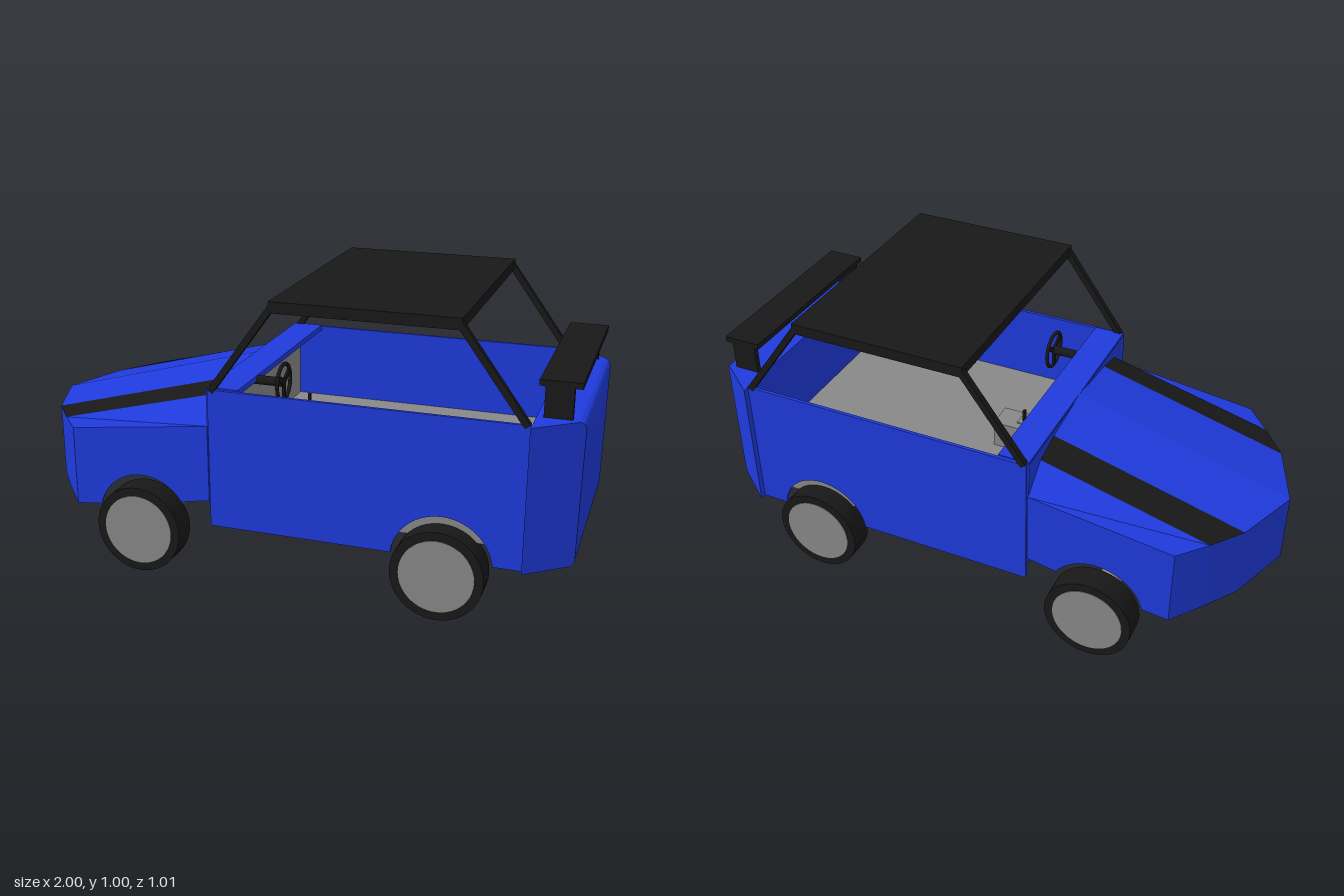
import * as THREE from 'three';
import { toCreasedNormals } from 'three/addons/utils/BufferGeometryUtils.js';

const material = (color, extra = {}) => new THREE.MeshStandardMaterial({ color, ...extra });
const thin = { side: THREE.DoubleSide, flatShading: true };
const blue = material(0x1f3adc);
const black = material(0x181818);
const grey = material(0x888888);
const blueThin = material(0x1f3adc, thin);
const blackThin = material(0x181818, thin);

export function createModel() {
  const car = new THREE.Group();
  car.name = 'car';

  const add = (name, geometry, mat, parent = car) => {
    const mesh = new THREE.Mesh(geometry, mat);
    mesh.name = name;
    parent.add(mesh);
    return mesh;
  };
  // Box given by its lower and upper corners
  const box = (name, mat, [x0, y0, z0], [x1, y1, z1]) => {
    const mesh = add(name, new THREE.BoxGeometry(x1 - x0, y1 - y0, z1 - z0), mat);
    mesh.position.set((x0 + x1) / 2, (y0 + y1) / 2, (z0 + z1) / 2);
    return mesh;
  };
  // Square bar between two points in a plane of constant z
  const bar = (name, mat, [x0, y0], [x1, y1], z, size) => {
    const length = Math.hypot(x1 - x0, y1 - y0);
    const mesh = add(name, new THREE.BoxGeometry(length, size, size), mat);
    mesh.position.set((x0 + x1) / 2, (y0 + y1) / 2, z);
    mesh.rotation.z = Math.atan2(y1 - y0, x1 - x0);
  };
  const quad = (name, mat, a, b, c, d) => {
    const g = new THREE.BufferGeometry().setFromPoints(
      [a, b, c, a, c, d].map((p) => new THREE.Vector3(...p)));
    g.computeVertexNormals();
    add(name, g, mat);
  };
  const plate = (shape, depth) =>
    new THREE.ExtrudeGeometry(shape, { depth, bevelEnabled: false, curveSegments: 20 });

  // Side panels with wheel arches
  const side = new THREE.Shape();
  const a = Math.asin(0.02 / 0.17);
  side.moveTo(-0.225, 0.68).lineTo(-0.225, 0.19);
  side.absarc(0.58, 0.17, 0.17, Math.PI - a, a, true);
  side.lineTo(0.845, 0.19).lineTo(0.845, 0.68);

  const fender = new THREE.Shape();
  fender.moveTo(-0.74, 0.485).lineTo(-0.74, 0.2);
  fender.absarc(-0.48, 0.17, 0.17, Math.PI - 0.24, 0.56, true);
  fender.lineTo(-0.23, 0.28).lineTo(-0.23, 0.55);

  for (const s of [-1, 1]) {
    add('sidePanel', plate(side, 0.012), blue).position.z = s > 0 ? 0.43 : -0.442;
    add('fender', plate(fender, 0.006), blue).position.z = s > 0 ? 0.434 : -0.44;
  }

  // Hood ribs from the middle outwards: z, front x, front top, front bottom, rear top
  const ribs = [
    [0, -1, 0.475, 0.22, 0.685],
    [0.23, -0.91, 0.478, 0.215, 0.66],
    [0.34, -0.825, 0.481, 0.208, 0.635],
    [0.44, -0.74, 0.485, 0.2, 0.55],
  ];
  for (const s of [-1, 1]) {
    for (let i = 0; i < 3; i++) {
      const [z0, x0, t0, b0, r0] = ribs[i];
      const [z1, x1, t1, b1, r1] = ribs[i + 1];
      quad(i === 1 ? 'hoodStripe' : 'hoodPanel', i === 1 ? blackThin : blueThin,
        [x0, t0, s * z0], [x1, t1, s * z1], [-0.23, r1, s * z1], [-0.23, r0, s * z0]);
      quad('nosePanel', blueThin,
        [x0, t0, s * z0], [x0, b0, s * z0], [x1, b1, s * z1], [x1, t1, s * z1]);
    }
  }

  // Rear end: rounded side profile, narrowed towards the back
  const tail = new THREE.Shape();
  tail.moveTo(0.845, 0.19).lineTo(0.975, 0.19);
  tail.quadraticCurveTo(0.995, 0.19, 0.995, 0.215);
  tail.lineTo(1, 0.65).quadraticCurveTo(1, 0.68, 0.97, 0.68).lineTo(0.845, 0.68);
  let tailGeometry = plate(tail, 0.93).translate(0, 0, -0.465);
  const p = tailGeometry.attributes.position;
  for (let i = 0; i < p.count; i++) {
    p.setZ(i, p.getZ(i) * (1 - 0.26 * (p.getX(i) - 0.845) / 0.155));
  }
  tailGeometry = toCreasedNormals(tailGeometry, 0.5);
  add('rearEnd', tailGeometry, blue);

  // Cabin floor, firewall, cowl and console
  box('floor', grey, [-0.22, 0.26, -0.43], [0.845, 0.4, 0.43]);
  box('firewall', grey, [-0.225, 0.4, -0.43], [-0.21, 0.675, 0.43]);
  box('firewallFront', blue, [-0.232, 0.26, -0.435], [-0.225, 0.68, 0.435]);
  box('cowl', blue, [-0.23, 0.665, -0.43], [-0.12, 0.685, 0.43]);
  box('console', grey, [-0.21, 0.4, -0.05], [0.08, 0.5, 0.05]);
  box('gearPlate', grey, [-0.04, 0.5, -0.02], [0, 0.506, 0.02]);
  box('gearLever', black, [-0.025, 0.5, -0.006], [-0.015, 0.55, 0.006]);

  // Steering wheel
  const steering = new THREE.Group();
  steering.name = 'steeringWheel';
  steering.position.set(-0.027, 0.667, 0.247);
  steering.rotation.y = Math.PI / 2;
  car.add(steering);
  add('steeringRim', new THREE.TorusGeometry(0.065, 0.007, 8, 16), black, steering);
  for (let i = 0; i < 3; i++) {
    const angle = Math.PI / 6 + i * Math.PI * 2 / 3;
    const spoke = add('steeringSpoke', new THREE.BoxGeometry(0.065, 0.018, 0.008), black, steering);
    spoke.position.set(Math.cos(angle) * 0.032, Math.sin(angle) * 0.032, 0);
    spoke.rotation.z = angle;
  }
  const column = add('steeringColumn', new THREE.CylinderGeometry(0.016, 0.016, 0.19, 12), black, steering);
  column.rotation.x = Math.PI / 2;
  column.position.z = -0.095;

  // Roof and pillars
  box('roof', black, [-0.005, 0.96, -0.445], [0.622, 0.998, 0.445]);
  for (const z of [-0.434, 0.434]) {
    bar('frontPillar', black, [-0.215, 0.675], [0.005, 0.98], z, 0.022);
    bar('rearPillar', black, [0.612, 0.98], [0.835, 0.675], z, 0.022);
  }

  // Spoiler
  box('spoilerWing', black, [0.848, 0.782, -0.352], [0.982, 0.802, 0.352]);
  for (const z of [-0.34, 0.34]) {
    box('spoilerSupport', black, [0.867, 0.67, z - 0.01], [0.957, 0.785, z + 0.01]);
  }

  // Axles and wheels
  for (const [x, shift] of [[-0.48, -0.01], [0.58, 0]]) {
    const axle = new THREE.Group();
    axle.name = x < 0 ? 'frontAxle' : 'rearAxle';
    axle.position.set(x, 0.156, shift);
    axle.rotation.x = Math.PI / 2;
    car.add(axle);
    add('axleTube', new THREE.CylinderGeometry(0.04, 0.04, 0.86, 24), grey, axle);
    for (const s of [-1, 1]) {
      const tyre = add('tyre', new THREE.CylinderGeometry(0.155, 0.155, 0.09, 40), black, axle);
      tyre.position.y = s * 0.455;
      const hub = add('hub', new THREE.CylinderGeometry(0.125, 0.125, 0.01, 40), grey, axle);
      hub.position.y = s * 0.497;
    }
  }
  return car;
}
